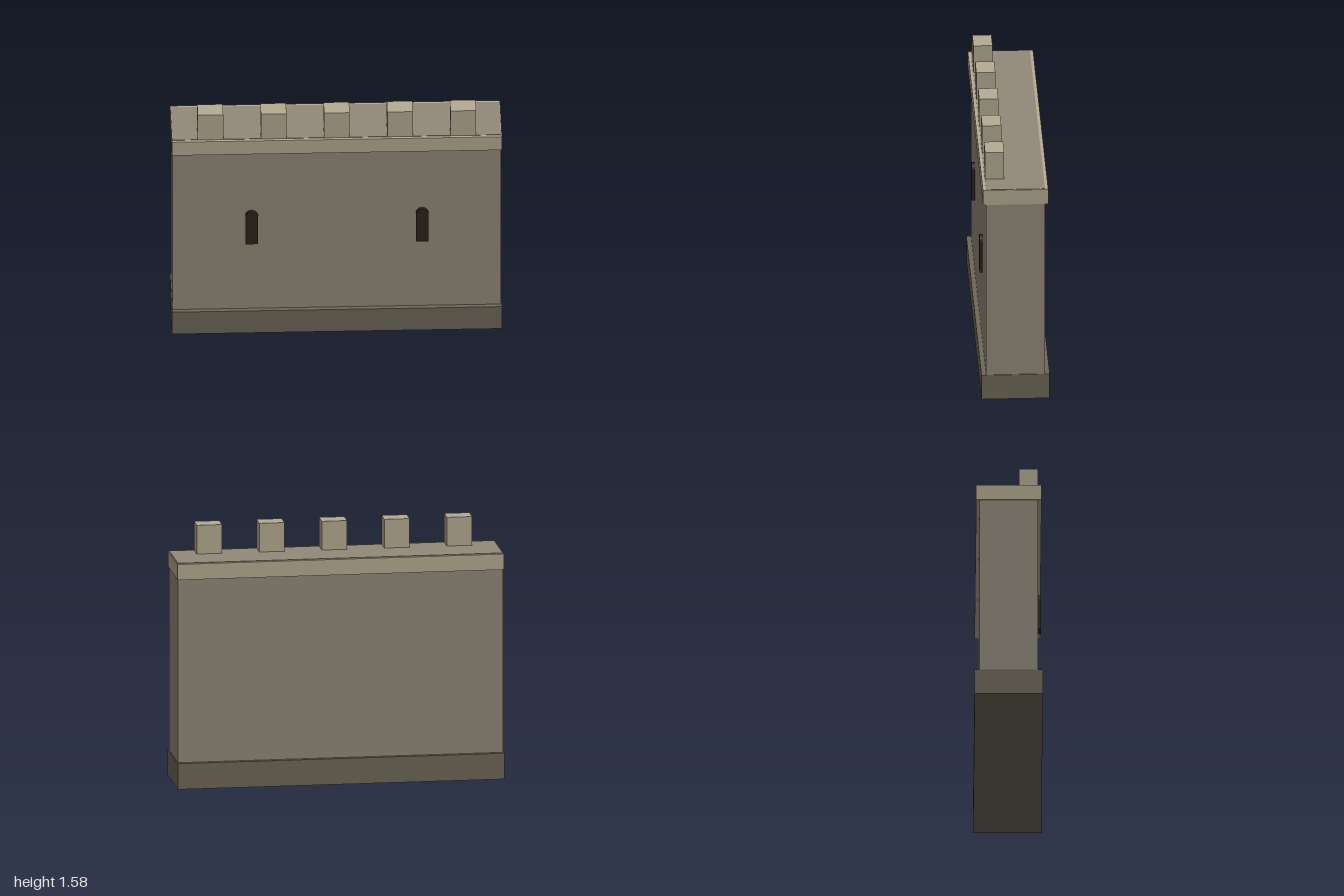
import * as THREE from 'three';

const material = (color) => new THREE.MeshStandardMaterial({ color });

export function createModel() {
  const model = new THREE.Group();
  model.name = 'castleWall';

  const wallStone = material(0x928a7a);
  const paleStone = material(0xb5ac92);
  const darkStone = material(0x6e6858);
  const shadow = material(0x2a241e);

  // Box given by its width, its y range and its z range
  function block(name, mat, width, y0, y1, z0, z1, x = 0) {
    const mesh = new THREE.Mesh(new THREE.BoxGeometry(width, y1 - y0, z1 - z0), mat);
    mesh.name = name;
    mesh.position.set(x, (y0 + y1) / 2, (z0 + z1) / 2);
    model.add(mesh);
  }

  // Plinth, wall and overhanging coping; the wall top forms the walkway
  block('plinth', darkStone, 2, 0, 0.16, -0.207, 0.207);
  block('wall', wallStone, 1.99, 0.002, 1.397, -0.178, 0.178);
  block('coping', paleStone, 2, 1.297, 1.394, -0.198, 0.198);

  // Merlons along the front edge
  for (let i = -2; i <= 2; i++) {
    block('merlon', paleStone, 0.155, 1.39, 1.575, 0.062, 0.178, i * 0.383);
  }

  // Round-topped arrow slits, standing slightly proud of the wall
  const r = 0.038;
  const slit = new THREE.Shape();
  slit.moveTo(-r, 0);
  slit.lineTo(r, 0);
  slit.lineTo(r, 0.198);
  slit.absarc(0, 0.198, r, 0, Math.PI, false);
  slit.closePath();
  const slitGeometry = new THREE.ExtrudeGeometry(slit, { depth: 0.03, bevelEnabled: false, curveSegments: 8 });
  for (const side of [-1, 1]) {
    const mesh = new THREE.Mesh(slitGeometry, shadow);
    mesh.name = side > 0 ? 'leftArrowSlit' : 'rightArrowSlit';
    mesh.position.set(side * 0.517, 0.64, 0.168);
    model.add(mesh);
  }

  return model;
}
